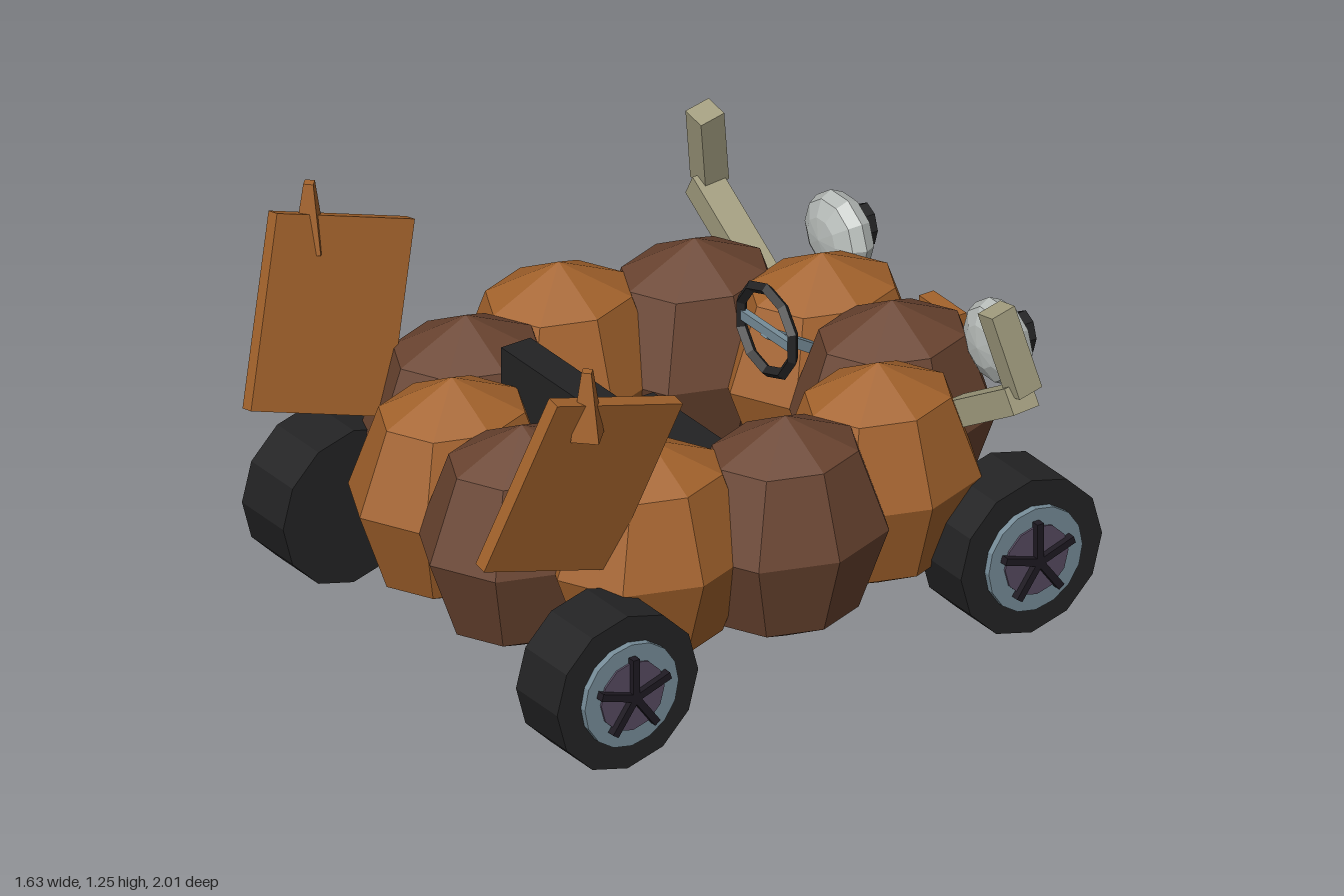
import * as THREE from 'three';

const flat = (name, color) => {
  const m = new THREE.MeshStandardMaterial({ color, flatShading: true });
  m.name = name;
  return m;
};

export function createModel() {
  const orange = flat('orange', 0xa4632c);
  const brown = flat('brown', 0x6a4430);
  const black = flat('black', 0x232324);
  const steel = flat('steel', 0x768c98);
  const plum = flat('plum', 0x564a60);
  const dark = flat('dark plum', 0x1e1a22);
  const white = flat('lamp grey', 0xb6bbb8);
  const bone = flat('bone', 0xa29d7f);
  const green = flat('green', 0x3b6c4d);

  const car = new THREE.Group();
  car.name = 'kart';

  const add = (name, geo, mat, pos = [0, 0, 0], parent = car) => {
    const mesh = new THREE.Mesh(geo, mat);
    mesh.name = name;
    mesh.position.set(...pos);
    parent.add(mesh);
    return mesh;
  };
  const box = (w, h, d) => new THREE.BoxGeometry(w, h, d);

  // Square beam between two points
  const beam = (name, a, b, w, d, mat) => {
    const p = new THREE.Vector3(...a), q = new THREE.Vector3(...b);
    const dir = q.clone().sub(p);
    const mesh = add(name, box(w, dir.length(), d), mat);
    mesh.position.copy(p).add(q).multiplyScalar(0.5);
    mesh.quaternion.setFromUnitVectors(new THREE.Vector3(0, 1, 0), dir.normalize());
    return mesh;
  };

  // Body: ring of ten faceted lobes in alternating colours
  for (let i = 0; i < 10; i++) {
    const a = ((18 + 36 * i) * Math.PI) / 180;
    const lobe = add('bodyLobe', new THREE.SphereGeometry(1, 8, 4), i % 2 ? orange : brown,
      [0.55 * Math.sin(a), 0.46, -0.05 + 0.665 * Math.cos(a)]);
    lobe.scale.set(0.265, 0.35, 0.315);
  }

  // Seat
  add('seatBase', box(0.48, 0.2, 0.46), black, [0, 0.4, 0.075]);
  add('seatBack', box(0.48, 0.42, 0.1), black, [0, 0.595, 0.315]);
  add('seatBackPanel', box(0.35, 0.2, 0.025), brown, [0, 0.67, 0.255]);

  // Steering wheel with T-shaped column
  add('steeringRing', new THREE.TorusGeometry(0.13, 0.018, 4, 10), black, [0, 0.735, -0.375])
    .rotation.z = Math.PI / 10;
  add('steeringCrossbar', box(0.24, 0.03, 0.02), steel, [0, 0.735, -0.375]);
  beam('steeringColumn', [0, 0.73, -0.37], [0, 0.6, -0.58], 0.03, 0.03, steel);

  // Small plate at the far end
  add('nosePlate', box(0.16, 0.1, 0.05), orange, [0, 0.58, -0.975]);

  // Leaning block
  const block = add('leaningBlock', box(0.12, 0.255, 0.105), green, [0.433, 0.84, 0.6]);
  block.rotation.set(0, -0.12, -0.265);

  for (const s of [1, -1]) {
    // Wheels
    for (const z of [0.64, -0.74]) {
      const wheel = new THREE.Group();
      wheel.name = 'wheel';
      wheel.position.set(s * 0.665, 0.241, z);
      wheel.rotation.y = s > 0 ? 0 : Math.PI;
      car.add(wheel);
      const disc = (name, r, x0, x1, sides, mat) => {
        const g = new THREE.CylinderGeometry(r, r, x1 - x0, sides);
        g.rotateZ(-Math.PI / 2);
        add(name, g, mat, [(x0 + x1) / 2, 0, 0], wheel);
      };
      disc('tire', 0.241, -0.1, 0.1, 12, black);
      disc('rim', 0.16, 0.09, 0.12, 16, steel);
      disc('hub', 0.108, 0.1, 0.126, 12, plum);
      for (let i = 0; i < 5; i++) {
        const pivot = new THREE.Group();
        pivot.name = 'spokePivot';
        pivot.rotation.x = (i * 2 * Math.PI) / 5;
        wheel.add(pivot);
        add('spoke', box(0.03, 0.125, 0.022), dark, [0.13, 0.06, 0], pivot);
      }
    }

    // Lamp eyes with dark pupils
    const eye = new THREE.SphereGeometry(1, 10, 6);
    eye.rotateX(-Math.PI / 2);
    eye.scale(0.135, 0.127, 0.073);
    add('lamp', eye, white, [s * 0.385, 0.71, -0.893]);
    const pupil = new THREE.CylinderGeometry(0.052, 0.052, 0.04, 8);
    pupil.rotateX(Math.PI / 2);
    pupil.scale(1, 1.3, 1);
    add('pupil', pupil, black, [s * 0.385, 0.71, -0.968]);

    // Bent horns
    beam('hornLower', [s * 0.775, 0.765, -0.7], [s * 0.47, 0.585, -0.69], 0.08, 0.09, bone);
    beam('hornUpper', [s * 0.762, 0.775, -0.715], [s * 0.707, 1.025, -0.66], 0.075, 0.08, bone);

    // Leaning square fin, a slab spanned by two edge vectors
    const u = new THREE.Vector3(s * 0.03, 0.145, 0.45);
    const v = new THREE.Vector3(s * 0.115, 0.525, -0.17);
    const n = new THREE.Vector3().crossVectors(u, v).setLength(0.042);
    const slab = box(1, 1, 1);
    slab.applyMatrix4(new THREE.Matrix4().makeBasis(u, v, n));
    add('fin', slab, orange, [s * 0.608, 0.852, 0.695]);

    // Spike on the fin
    add('finSpike', new THREE.CylinderGeometry(0.02, 0.057, 0.21, 4), orange, [s * 0.675, 1.142, 0.715]);
  }

  return car;
}
